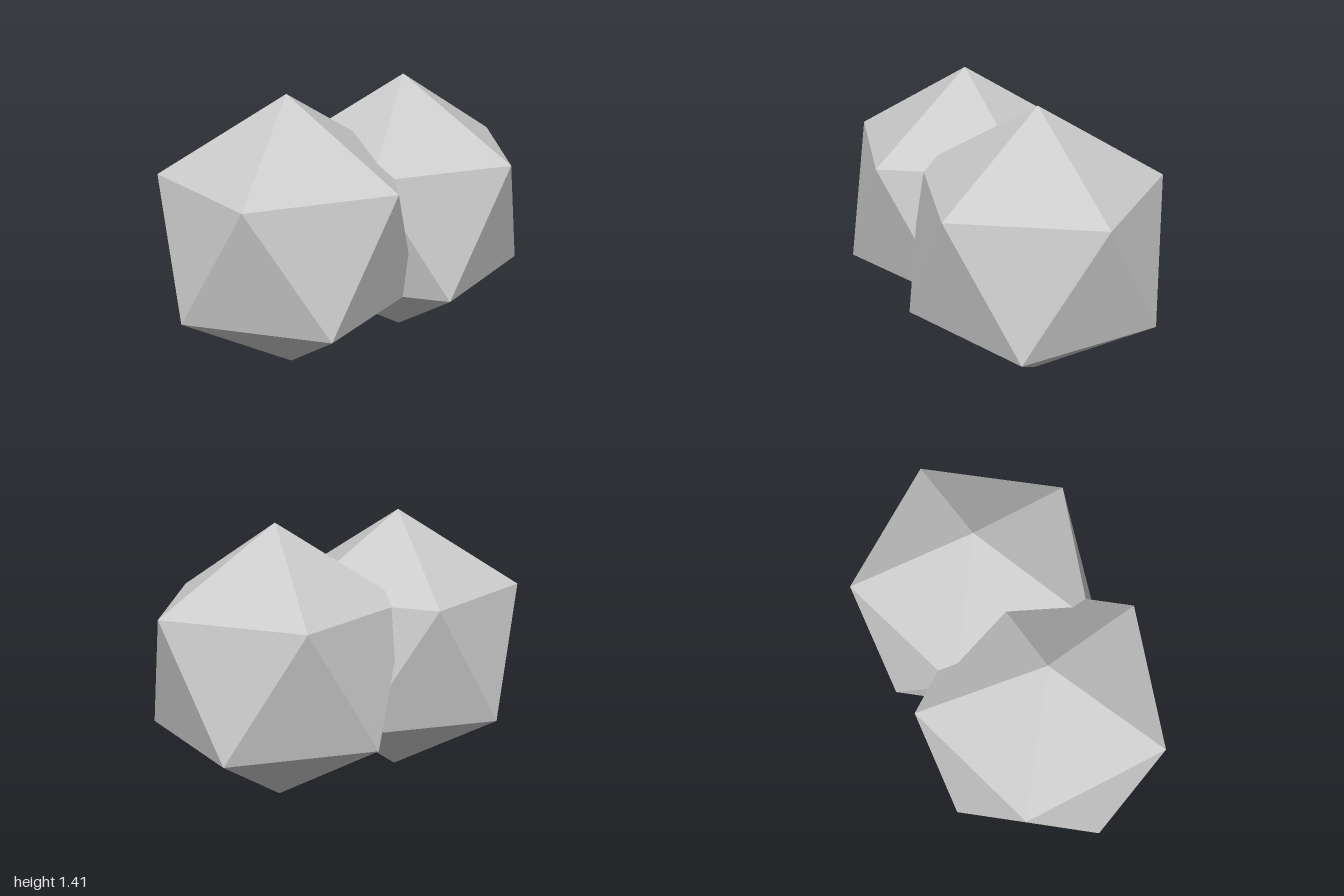
import * as THREE from 'three';

const RADIUS = 0.7055;   // circumradius, so each solid stands on its lowest corner
const OFFSET = 0.369;    // distance of each centre from the middle

export function createModel() {
  const group = new THREE.Group();
  group.name = 'interlockedIcosahedra';
  const material = new THREE.MeshStandardMaterial({ color: 0xcccccc, flatShading: true });

  // Turn one corner straight up, leaving an upper-ring corner pointing to +x
  const geometry = new THREE.IcosahedronGeometry(RADIUS, 0);
  geometry.rotateZ(-Math.atan(2 / (1 + Math.sqrt(5))));

  // Two identical, overlapping solids side by side
  for (const [name, side] of [['leftIcosahedron', 1], ['rightIcosahedron', -1]]) {
    const solid = new THREE.Mesh(geometry, material);
    solid.name = name;
    solid.position.set(side * OFFSET, RADIUS, 0);
    group.add(solid);
  }
  return group;
}
